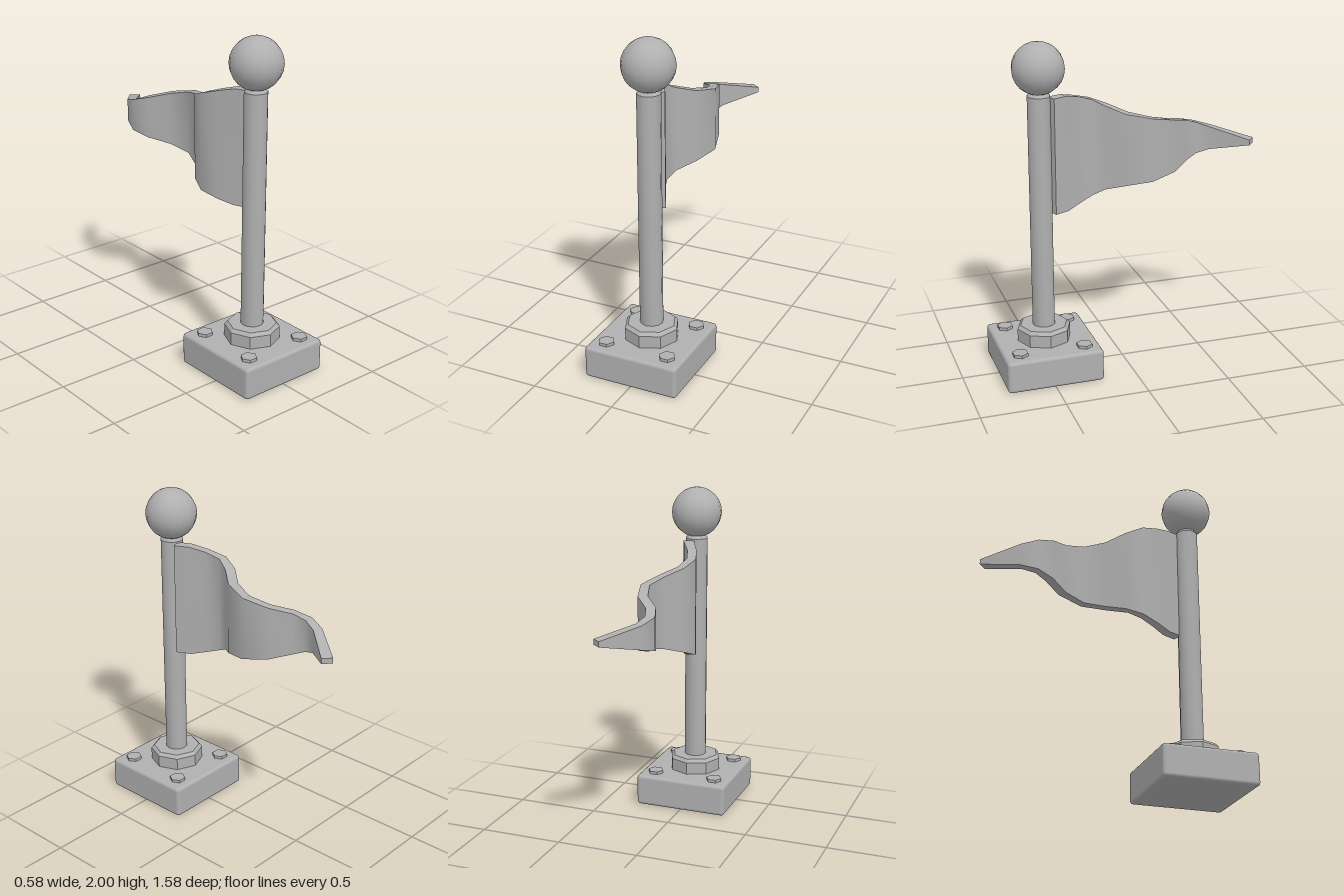
import * as THREE from 'three';
import { toCreasedNormals } from 'three/addons/utils/BufferGeometryUtils.js';
import { RoundedBoxGeometry } from 'three/addons/geometries/RoundedBoxGeometry.js';

const POLE_Z = 0.495;

// Stations along the pennant: left x, left z, right x, right z, half height
const STATIONS = [
  [0.0, 0.445, 0.06, 0.42, 0.345],
  [-0.035, 0.36, 0.02, 0.335, 0.345],
  [-0.08, 0.27, -0.03, 0.25, 0.322],
  [-0.115, 0.165, -0.057, 0.165, 0.292],
  [-0.08, 0.065, -0.03, 0.095, 0.255],
  [0.005, -0.035, 0.055, -0.005, 0.217],
  [0.05, -0.155, 0.105, -0.155, 0.19],
  [0.01, -0.28, 0.06, -0.31, 0.158],
  [-0.08, -0.385, -0.03, -0.415, 0.125],
  [-0.115, -0.485, -0.057, -0.485, 0.096],
  [-0.08, -0.585, -0.03, -0.56, 0.069],
  [0.085, -0.79, 0.135, -0.748, 0.016],
];

// Wavy cloth of constant thickness, tapering to a tip
function flagGeometry(midY) {
  const pos = [];
  const index = [];
  const quad = (a, b, c, d) => index.push(a, b, c, a, c, d);
  STATIONS.forEach(([lx, lz, rx, rz, h], i) => {
    pos.push(lx, midY + h, lz, rx, midY + h, rz, rx, midY - h, rz, lx, midY - h, lz);
    if (i === 0) return;
    const p = (i - 1) * 4;
    for (let k = 0; k < 4; k++) {
      const n = (k + 1) % 4;
      quad(p + k, p + n, p + 4 + n, p + 4 + k);
    }
  });
  const e = (STATIONS.length - 1) * 4;
  quad(0, 3, 2, 1);
  quad(e, e + 1, e + 2, e + 3);
  const g = new THREE.BufferGeometry();
  g.setAttribute('position', new THREE.Float32BufferAttribute(pos, 3));
  g.setIndex(index);
  return toCreasedNormals(g, 0.75);
}

// Turned part from [radius, height] pairs
function turned(profile, sides, crease) {
  const pts = profile.map(([r, y]) => new THREE.Vector2(r, y));
  return toCreasedNormals(new THREE.LatheGeometry(pts, sides), crease);
}

export function createModel() {
  const group = new THREE.Group();
  const grey = new THREE.MeshStandardMaterial({ color: 0xb0b0b0 });
  grey.name = 'plain grey';

  const add = (name, geometry, x, y, z) => {
    const mesh = new THREE.Mesh(geometry, grey);
    mesh.name = name;
    mesh.position.set(x, y, z);
    group.add(mesh);
    return mesh;
  };

  // Square foot with softened edges
  add('base', new RoundedBoxGeometry(0.58, 0.195, 0.58, 2, 0.02), 0, 0.0975, POLE_Z);

  // Hex bolts at the corners
  for (const sx of [-1, 1]) {
    for (const sz of [-1, 1]) {
      const bolt = new THREE.CylinderGeometry(0.048, 0.048, 0.03, 6);
      bolt.rotateY(Math.PI / 6);
      add('bolt', toCreasedNormals(bolt, 0.5), sx * 0.195, 0.198, POLE_Z + sz * 0.195);
    }
  }

  // Eight-sided collar with a chamfered top
  add('collar', turned([[0, 0.18], [0.162, 0.18], [0.162, 0.27], [0.143, 0.29], [0, 0.29]], 8, 0.5), 0, 0, POLE_Z);

  // Pole with a chamfered top, and the ball on it
  add('pole', turned([[0, 0.2], [0.068, 0.2], [0.068, 1.69], [0.052, 1.712], [0, 1.712]], 12, 0.6), 0, 0, POLE_Z);
  add('ball', new THREE.SphereGeometry(0.152, 16, 12), 0, 1.848, POLE_Z);

  // Pennant flying to the back
  add('flag', flagGeometry(1.335), 0, 0, 0);

  return group;
}
